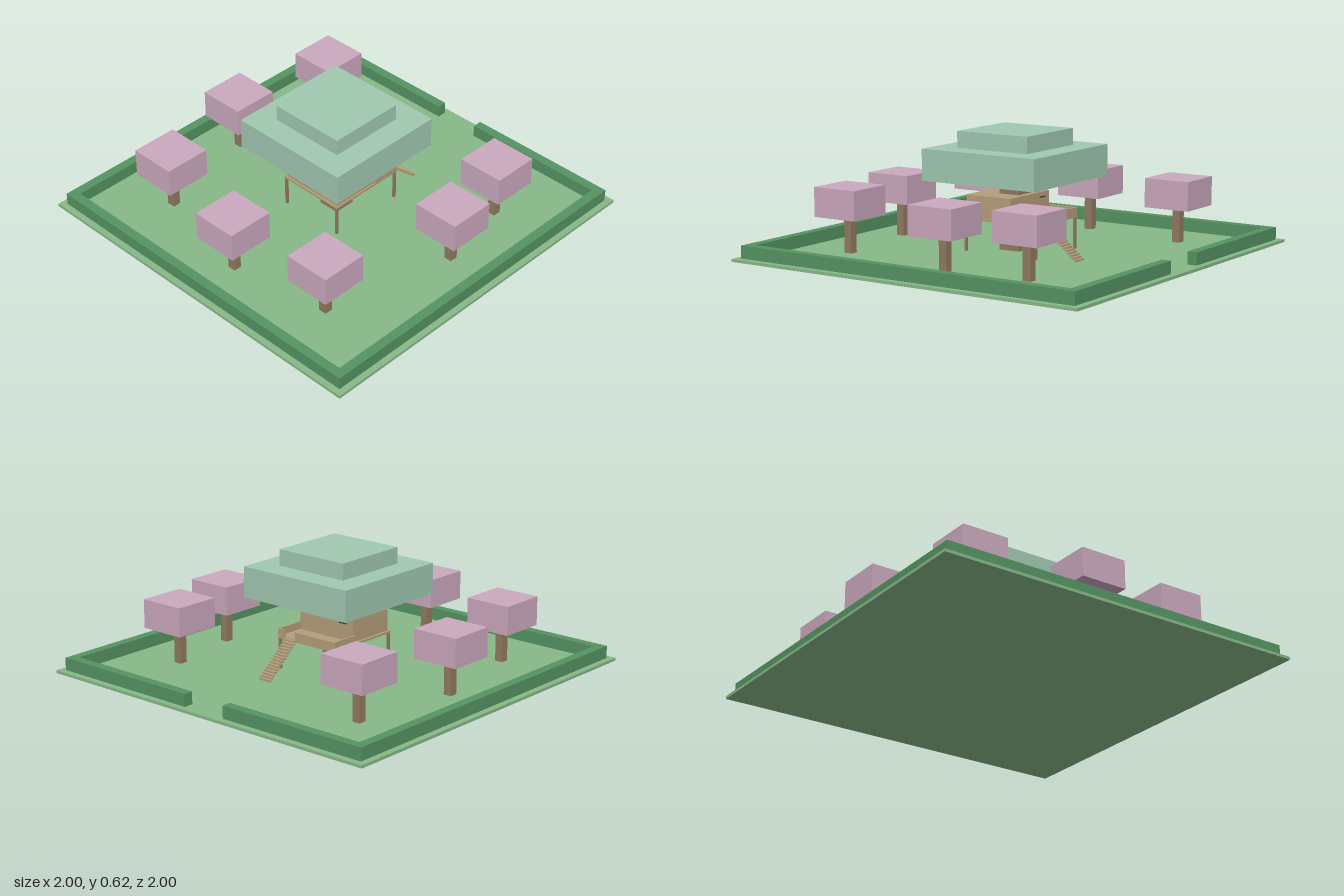
import * as THREE from 'three';

const mat = (name, color) => {
  const m = new THREE.MeshStandardMaterial({ color });
  m.name = name;
  return m;
};

export function createModel() {
  const model = new THREE.Group();
  model.name = 'treehouseGarden';

  const grass = mat('grass green', 0x88b888);
  const hedge = mat('hedge green', 0x559362);
  const blossom = mat('blossom pink', 0xcaa8be);
  const leaf = mat('leaf mint', 0xa0c8b0);
  const bark = mat('bark brown', 0x907a60);
  const plank = mat('plank tan', 0xb59e7a);
  const dark = mat('dark brown', 0x4a3c30);

  // Box given by its lower and upper limits on each axis
  const box = (name, m, [x0, x1], [y0, y1], [z0, z1], parent = model) => {
    const mesh = new THREE.Mesh(new THREE.BoxGeometry(x1 - x0, y1 - y0, z1 - z0), m);
    mesh.position.set((x0 + x1) / 2, (y0 + y1) / 2, (z0 + z1) / 2);
    mesh.name = name;
    parent.add(mesh);
    return mesh;
  };
  const around = (c, size) => [c - size / 2, c + size / 2];

  const G = 0.015; // top of the lawn
  box('lawn', grass, [-1, 1], [0, G], [-1, 1]);

  // Hedge with an entrance gap on the +x side
  const hy = [G, 0.08];
  box('backHedge', hedge, [-0.967, 0.967], hy, [-0.967, -0.917]);
  box('frontHedge', hedge, [-0.967, 0.967], hy, [0.917, 0.967]);
  box('rightHedge', hedge, [-0.967, -0.917], hy, [-0.917, 0.917]);
  box('leftHedgeBack', hedge, [0.917, 0.967], hy, [-0.917, -0.125]);
  box('leftHedgeFront', hedge, [0.917, 0.967], hy, [0.125, 0.917]);

  // Blossom trees
  const spots = [[-0.583, -0.585], [0, -0.71], [0.58, -0.627], [-0.71, 0],
    [-0.625, 0.54], [0.08, 0.707], [0.5, 0.625]];
  for (const [x, z] of spots) {
    const tree = new THREE.Group();
    tree.name = 'blossomTree';
    tree.position.set(x, 0, z);
    box('treeTrunk', bark, around(0, 0.043), [G, 0.2], around(0, 0.043), tree);
    box('treeCrown', blossom, around(0, 0.25), [0.2, 0.35], around(0, 0.25), tree);
    model.add(tree);
  }

  // Great tree
  box('greatTrunk', bark, around(0, 0.115), [G, 0.375], around(0, 0.115));
  box('lowerCanopy', leaf, around(0, 0.667), [0.375, 0.535], around(0, 0.667));
  box('upperCanopy', leaf, around(0, 0.415), [0.535, 0.62], around(0, 0.415));

  // Treehouse cabin, deck and posts
  const house = new THREE.Group();
  house.name = 'treehouse';
  model.add(house);
  box('deck', plank, [-0.185, 0.248], [0.174, 0.186], [-0.185, 0.185], house);
  box('cabin', plank, [-0.175, 0.09], [0.186, 0.3], [-0.172, 0.177], house);
  box('doorHandle', dark, [0.09, 0.096], [0.272, 0.278], [-0.13, -0.085], house);
  for (const x of [-0.177, 0.24]) {
    for (const z of [-0.177, 0.177]) {
      box('post', bark, around(x, 0.013), [G, 0.174], around(z, 0.013), house);
    }
  }

  // Railings, open where the stairs arrive
  const ry = [0.18, 0.225];
  box('frontRailing', plank, [0.09, 0.248], ry, [0.177, 0.187], house);
  box('backRailing', plank, [0.09, 0.248], ry, [-0.187, -0.177], house);
  box('sideRailingBack', plank, [0.238, 0.248], ry, [-0.187, 0.07], house);
  box('sideRailingFront', plank, [0.238, 0.248], ry, [0.145, 0.187], house);

  // Stairs
  const steps = 15;
  for (let i = 0; i < steps; i++) {
    const x = 0.248 + i * 0.0131;
    const y = 0.183 - i * 0.0112;
    box('stairTread', plank, [x, x + 0.0135], [y - 0.01, y], [0.062, 0.135], house);
  }
  return model;
}
